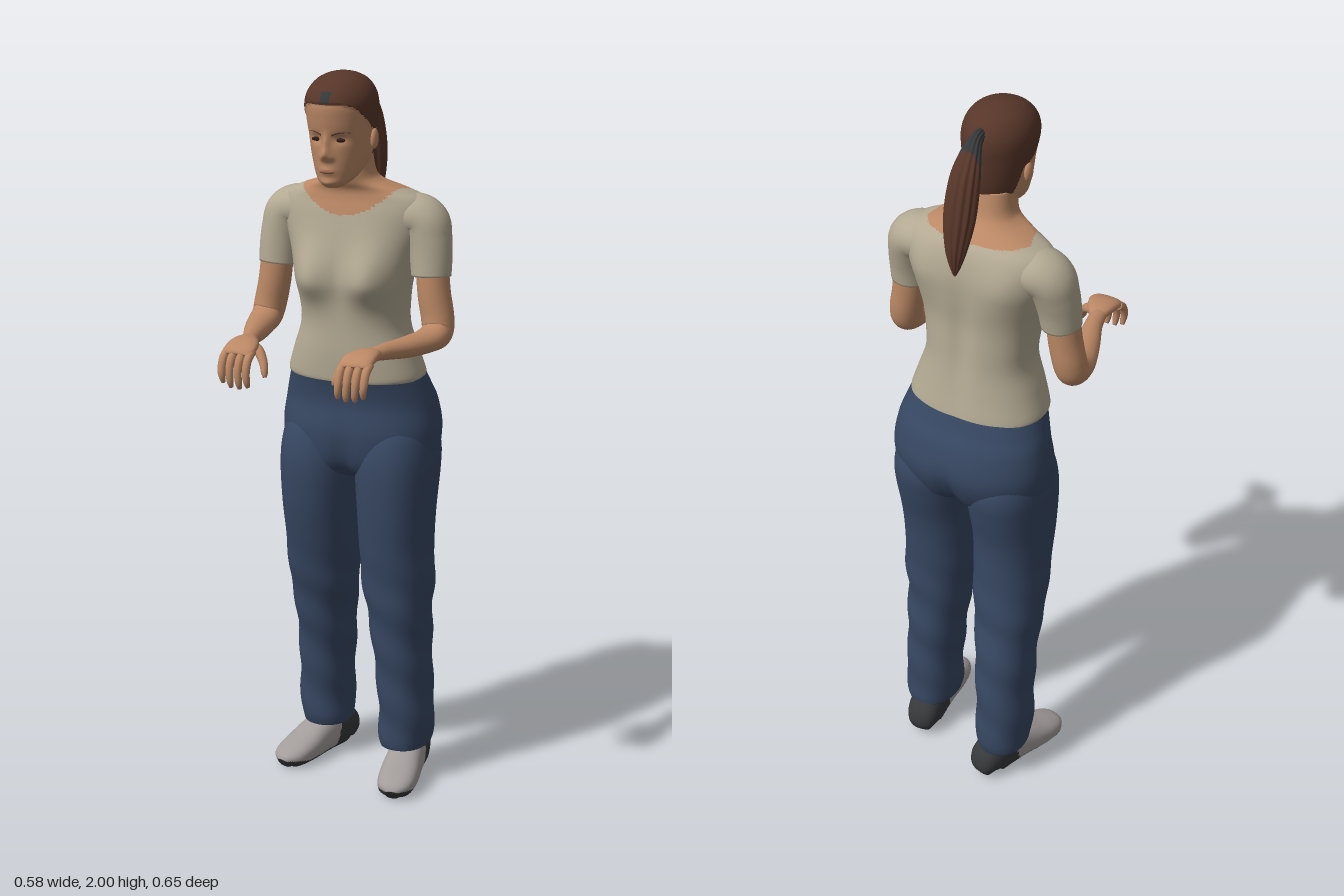
import * as THREE from 'three';

const mat = (name, color) => {
  const m = new THREE.MeshStandardMaterial({ color });
  m.name = name;
  return m;
};

// Catmull-Rom value between p1 and p2
const spline = (p0, p1, p2, p3, t) => 0.5 * (2 * p1 + (p2 - p0) * t
  + (2 * p0 - 5 * p1 + 4 * p2 - p3) * t * t + (3 * p1 - p0 - 3 * p2 + p3) * t * t * t);

const smooth = (lo, hi, v) => THREE.MathUtils.smoothstep(v, lo, hi);
const bump = (d, w) => Math.exp(-(d * d) / (w * w));

// Skins rows of [x, y, z, radius along ref, radius across]; flat keeps the rings level
function sweep(name, rows, mats, o = {}) {
  const { seg = 24, sub = 6, e = 2, flat = false, warp, paint } = o;
  const ref = new THREE.Vector3(...(o.ref || [1, 0, 0]));
  const at = (i) => rows[Math.max(0, Math.min(rows.length - 1, i))];
  const rings = [];
  for (let i = 0; i < rows.length - 1; i++)
    for (let k = 0; k < sub + (i === rows.length - 2 ? 1 : 0); k++)
      rings.push(rows[0].map((_, c) => spline(at(i - 1)[c], at(i)[c], at(i + 1)[c], at(i + 2)[c], k / sub)));
  const centres = rings.map((r) => new THREE.Vector3(r[0], r[1], r[2]));
  const pts = [], n = rings.length;
  const pow = (v) => Math.sign(v) * Math.abs(v) ** (2 / e);
  rings.forEach((r, i) => {
    const T = flat ? new THREE.Vector3(0, 1, 0)
      : centres[Math.min(n - 1, i + 1)].clone().sub(centres[Math.max(0, i - 1)]).normalize();
    const V = ref.clone().addScaledVector(T, -ref.dot(T)).normalize();
    const U = T.clone().cross(V);
    for (let j = 0; j < seg; j++) {
      const th = (j / seg) * Math.PI * 2;
      const p = centres[i].clone()
        .addScaledVector(V, Math.max(r[3], 0.001) * pow(Math.cos(th)))
        .addScaledVector(U, Math.max(r[4], 0.001) * pow(Math.sin(th)));
      if (warp) warp(p, th, centres[i]);
      pts.push(p);
    }
  });
  pts.push(centres[0], centres[n - 1]);
  const lists = [].concat(mats).map(() => []);
  const tri = (a, b, c) => {
    const m = pts[a].clone().add(pts[b]).add(pts[c]).divideScalar(3);
    lists[paint ? paint(m) : 0].push(a, b, c);
  };
  for (let j = 0; j < seg; j++) {
    const k = (j + 1) % seg;
    for (let i = 0; i < n - 1; i++) {
      const a = i * seg + j, b = i * seg + k;
      tri(a, b, a + seg);
      tri(b, b + seg, a + seg);
    }
    tri(n * seg, k, j);
    tri(n * seg + 1, (n - 1) * seg + j, (n - 1) * seg + k);
  }
  const g = new THREE.BufferGeometry().setFromPoints(pts);
  g.setIndex(lists.flat());
  let start = 0;
  lists.forEach((l, i) => { g.addGroup(start, l.length, i); start += l.length; });
  g.computeVertexNormals();
  const mesh = new THREE.Mesh(g, mats);
  mesh.name = name;
  return mesh;
}

// Level section from [y, xMin, xMax, zFront, zBack]
const level = ([y, x0, x1, f, b]) => [(x0 + x1) / 2, y, (f + b) / 2, Math.abs(x1 - x0) / 2, (f - b) / 2];
// Level section symmetric in x from [y, halfWidth, zFront, zBack]
const even = ([y, w, f, b]) => level([y, -w, w, f, b]);

function blob(name, m, pos, size) {
  const mesh = new THREE.Mesh(new THREE.SphereGeometry(1, 20, 14), m);
  mesh.position.set(...pos);
  mesh.scale.set(...size);
  mesh.name = name;
  return mesh;
}

export function createModel() {
  const skin = mat('skin', 0xbb8865), shirt = mat('shirt', 0xb3a993), denim = mat('trousers', 0x374762);
  const hair = mat('hair', 0x573629), shoe = mat('shoe', 0xa29c9b), dark = mat('dark', 0x37383a);
  const eye = mat('eye', 0x2c1d18), lip = mat('lips', 0x9c6650);
  const g = new THREE.Group();

  // Torso: shirt with a scooped neckline, and neck
  g.add(sweep('torso', [
    [1.175, 0.186, 0.012, -0.243], [1.19, 0.189, 0.014, -0.243], [1.25, 0.17, 0.016, -0.232],
    [1.32, 0.148, 0.014, -0.222], [1.39, 0.15, 0.014, -0.216], [1.45, 0.16, 0.016, -0.212],
    [1.52, 0.178, 0.01, -0.213], [1.58, 0.198, 0.001, -0.211], [1.63, 0.208, -0.009, -0.202],
    [1.665, 0.193, -0.018, -0.188], [1.688, 0.145, -0.018, -0.168], [1.71, 0.088, -0.006, -0.143],
    [1.735, 0.068, 0.002, -0.125], [1.79, 0.062, 0.01, -0.11],
  ].map(even), [shirt, skin], {
    seg: 96, sub: 8, e: 2.35, flat: true,
    warp: (p, th, c) => {
      const ax = Math.abs(p.x);
      if (p.z > c.z) p.z += 0.042 * bump(ax - 0.085, 0.062) * bump(p.y - 1.45, p.y > 1.45 ? 0.085 : 0.062);
      else p.z += 0.012 * bump(p.x, 0.03) * bump(p.y - 1.42, 0.17) - 0.014 * bump(ax - 0.12, 0.06) * bump(p.y - 1.58, 0.08);
    },
    paint: (p) => {
      const front = 1.622 + 0.065 * (p.x / 0.13) ** 2;
      const back = 1.679 + 0.3 * p.x * p.x;
      return p.y > THREE.MathUtils.lerp(back, front, smooth(-0.12, -0.06, p.z)) ? 1 : 0;
    },
  }));

  // Hips
  g.add(sweep('hips', [
    [0.87, 0.03, -0.11, -0.18], [0.895, 0.11, -0.045, -0.23], [0.94, 0.205, -0.008, -0.276],
    [1.02, 0.223, 0.003, -0.303], [1.1, 0.213, -0.008, -0.288], [1.15, 0.199, -0.003, -0.262], [1.186, 0.187, 0.006, -0.246],
  ].map(even), denim, {
    seg: 72, sub: 8, e: 2.25, flat: true,
    warp: (p, th, c) => {
      const w = bump(p.x, 0.025) * (1 - smooth(0.9, 1.08, p.y));
      p.z += (p.z < c.z ? 0.025 : -0.02) * w;
    },
  }));

  for (const s of [1, -1]) {
    // Trouser leg; the right one stands further back
    const leg = [
      [0.1, 0.068, 0.205, -0.066, -0.234], [0.13, 0.064, 0.21, -0.06, -0.238], [0.2, 0.065, 0.213, -0.055, -0.238],
      [0.3, 0.06, 0.209, -0.047, -0.235], [0.4, 0.05, 0.208, -0.039, -0.235], [0.5, 0.038, 0.21, -0.027, -0.23],
      [0.58, 0.024, 0.217, -0.018, -0.233], [0.7, 0.017, 0.214, -0.004, -0.24], [0.8, 0.012, 0.217, 0.006, -0.252],
      [0.9, 0.004, 0.221, 0.009, -0.276], [0.97, 0.004, 0.219, 0.002, -0.285], [1.03, 0.018, 0.205, -0.02, -0.265], [1.08, 0.05, 0.17, -0.06, -0.22],
    ].map(([y, a, b, f, k]) => {
      const back = s < 0 ? 0.076 * (1 - smooth(0.2, 0.95, y)) : 0;
      return level([y, a * s, b * s, f - back, k - back]);
    });
    g.add(sweep(s > 0 ? 'leftLeg' : 'rightLeg', leg, denim, {
      seg: 48, e: 2.2, flat: true,
      warp: (p, th, c) => {
        const k = 1 + 0.03 * Math.sin(p.y * 42 + 2 * th + s) * (1 - smooth(0.5, 0.75, p.y));
        p.x = c.x + (p.x - c.x) * k;
        p.z = c.z + (p.z - c.z) * k;
      },
    }));

    // Shoe: grey toe, dark heel and sole
    const foot = sweep(s > 0 ? 'leftShoe' : 'rightShoe', [
      [-0.143, 0.026, 0.03], [-0.135, 0.042, 0.08], [-0.11, 0.049, 0.115], [-0.05, 0.05, 0.12], [0, 0.052, 0.105],
      [0.05, 0.055, 0.084], [0.1, 0.052, 0.066], [0.13, 0.041, 0.052], [0.145, 0.018, 0.034],
    ].map(([z, w, h]) => [0, h / 2, z, w, h / 2]), [shoe, dark], {
      seg: 48, e: 2.5,
      warp: (p) => { p.y = Math.max(p.y, 0); },
      paint: (p) => (p.y < 0.02 + 0.008 * smooth(0.08, 0.14, p.z) || p.z < -0.035 - 0.3 * p.y ? 1 : 0),
    });
    foot.position.set(s * 0.152, 0, s > 0 ? -0.1 : -0.165);
    foot.rotation.y = s > 0 ? 0.16 : -0.27;
    g.add(foot);

    // Arm, hand and sleeve
    const arm = new THREE.Group();
    arm.name = s > 0 ? 'leftArm' : 'rightArm';
    const limb = (name, rows, m, o) => arm.add(sweep(name, rows.map(([x, ...r]) => [x * s, ...r]), m, o));
    limb('sleeve', [
      [0.09, 1.61, -0.11, 0.065, 0.05], [0.155, 1.617, -0.11, 0.074, 0.061], [0.197, 1.602, -0.107, 0.069, 0.063],
      [0.212, 1.558, -0.1, 0.062, 0.059], [0.219, 1.51, -0.093, 0.056, 0.056], [0.222, 1.464, -0.088, 0.053, 0.053],
    ], shirt, { ref: [0, 0, 1], seg: 36 });
    limb('armSkin', [
      [0.224, 1.5, -0.088, 0.044, 0.044], [0.232, 1.42, -0.085, 0.044, 0.046], [0.244, 1.355, -0.082, 0.044, 0.046],
      [0.248, 1.32, -0.068, 0.042, 0.043], [0.241, 1.308, -0.02, 0.041, 0.032], [0.218, 1.306, 0.06, 0.034, 0.028],
      [0.192, 1.31, 0.14, 0.025, 0.022], [0.178, 1.313, 0.2, 0.022, 0.016],
    ], skin);
    limb('palm', [
      [0.182, 1.313, 0.17, 0.016, 0.012], [0.173, 1.315, 0.213, 0.034, 0.017], [0.166, 1.312, 0.25, 0.043, 0.016],
      [0.164, 1.302, 0.278, 0.042, 0.013], [0.164, 1.296, 0.286, 0.036, 0.007],
    ], skin, { e: 2.4 });
    [0.13, 0.153, 0.177, 0.2].forEach((x, i) => {
      const d = [0, -0.006, -0.004, 0.006][i];
      limb('finger', [
        [x, 1.304, 0.265, 0.011, 0.011], [x, 1.288, 0.291, 0.011, 0.011], [x, 1.26, 0.303, 0.0105, 0.01],
        [x - 0.002, 1.235 + d, 0.304, 0.009, 0.009], [x - 0.003, 1.219 + d, 0.299, 0.006, 0.006],
      ], skin, { seg: 12, sub: 4 });
    });
    limb('thumb', [
      [0.155, 1.308, 0.212, 0.015, 0.014], [0.128, 1.296, 0.228, 0.015, 0.013], [0.108, 1.272, 0.245, 0.012, 0.011],
      [0.1, 1.25, 0.256, 0.01, 0.009], [0.097, 1.238, 0.26, 0.005, 0.005],
    ], skin, { ref: [0, 0, 1], seg: 14, sub: 4 });
    g.add(arm);

    // Ear, eye and brow
    g.add(blob('ear', skin, [s * 0.086, 1.828, -0.022], [0.01, 0.027, 0.016]));
    const faceZ = (x) => -0.015 + 0.104 * Math.sqrt(1 - (x / 0.084) ** 2);
    g.add(blob('eye', eye, [s * 0.033, 1.833, faceZ(0.033) - 0.006], [0.014, 0.0055, 0.006]));
    g.add(sweep('brow', [[0.014, 1.846], [0.034, 1.853], [0.056, 1.852]].map(([x, y], i) =>
      [s * x, y, faceZ(x) + 0.0005, 0.0025 - i * 0.0006, 0.003]), hair, { ref: [0, 1, 0], seg: 10 }));
  }

  // Head with modelled face and swept-back hair
  const hairline = (z) => (z > -0.035 ? 1.852 + 0.073 * smooth(-0.03, 0.095, z)
    : 1.762 + 0.09 * smooth(-0.07, -0.035, z));
  g.add(sweep('head', [
    [1.707, 0.02, 0.068, 0.02], [1.72, 0.04, 0.081, -0.02], [1.74, 0.056, 0.083, -0.06], [1.77, 0.069, 0.086, -0.1],
    [1.8, 0.077, 0.087, -0.112], [1.84, 0.083, 0.09, -0.118], [1.88, 0.088, 0.098, -0.12], [1.92, 0.09, 0.102, -0.12],
    [1.95, 0.083, 0.09, -0.11], [1.975, 0.066, 0.064, -0.09], [1.992, 0.04, 0.03, -0.06], [2, 0.004, -0.01, -0.02],
  ].map(even), [skin, hair, dark], {
    seg: 128, sub: 8, flat: true,
    warp: (p, th, c) => {
      if (p.z > c.z + 0.03) {
        const ax = Math.abs(p.x);
        p.z += 0.02 * bump(p.x, 0.012) * bump(p.y - 1.797, 0.016)
          + 0.01 * bump(p.x, 0.009) * bump(p.y - 1.825, 0.02)
          + 0.006 * bump(ax - 0.013, 0.008) * bump(p.y - 1.788, 0.009)
          - 0.008 * bump(ax - 0.033, 0.018) * bump(p.y - 1.835, 0.012)
          + 0.006 * bump(p.x, 0.02) * bump(p.y - 1.752, 0.012)
          + 0.004 * bump(p.x, 0.02) * bump(p.y - 1.722, 0.01);
      }
      if (p.y > hairline(p.z) && p.y < 1.985) {
        p.x *= 1.03;
        p.z = c.z + (p.z - c.z) * 1.03;
      }
    },
    paint: (p) => (p.y < hairline(p.z) ? 0
      : Math.abs(p.x) < 0.014 && p.z > 0 && p.y > 1.927 && p.y < 1.957 ? 2 : 1),
  }));
  g.add(blob('lips', lip, [0, 1.752, 0.0865], [0.021, 0.006, 0.0065]));

  // Ponytail with its dark tie
  g.add(sweep('ponytail', [
    [0, 1.945, -0.095, 0.014, 0.018], [0, 1.945, -0.125, 0.016, 0.02], [0, 1.92, -0.152, 0.026, 0.022],
    [0, 1.86, -0.182, 0.038, 0.032], [0, 1.77, -0.208, 0.04, 0.033], [0, 1.69, -0.226, 0.028, 0.024],
    [0, 1.64, -0.232, 0.014, 0.012], [0, 1.615, -0.234, 0.003, 0.003],
  ], [hair, dark], {
    seg: 72,
    warp: (p, th, c) => p.sub(c).multiplyScalar(1 + 0.06 * Math.sin(12 * th)).add(c),
    paint: (p) => (p.y > 1.85 && p.z > -0.168 ? 1 : 0),
  }));
  return g;
}
